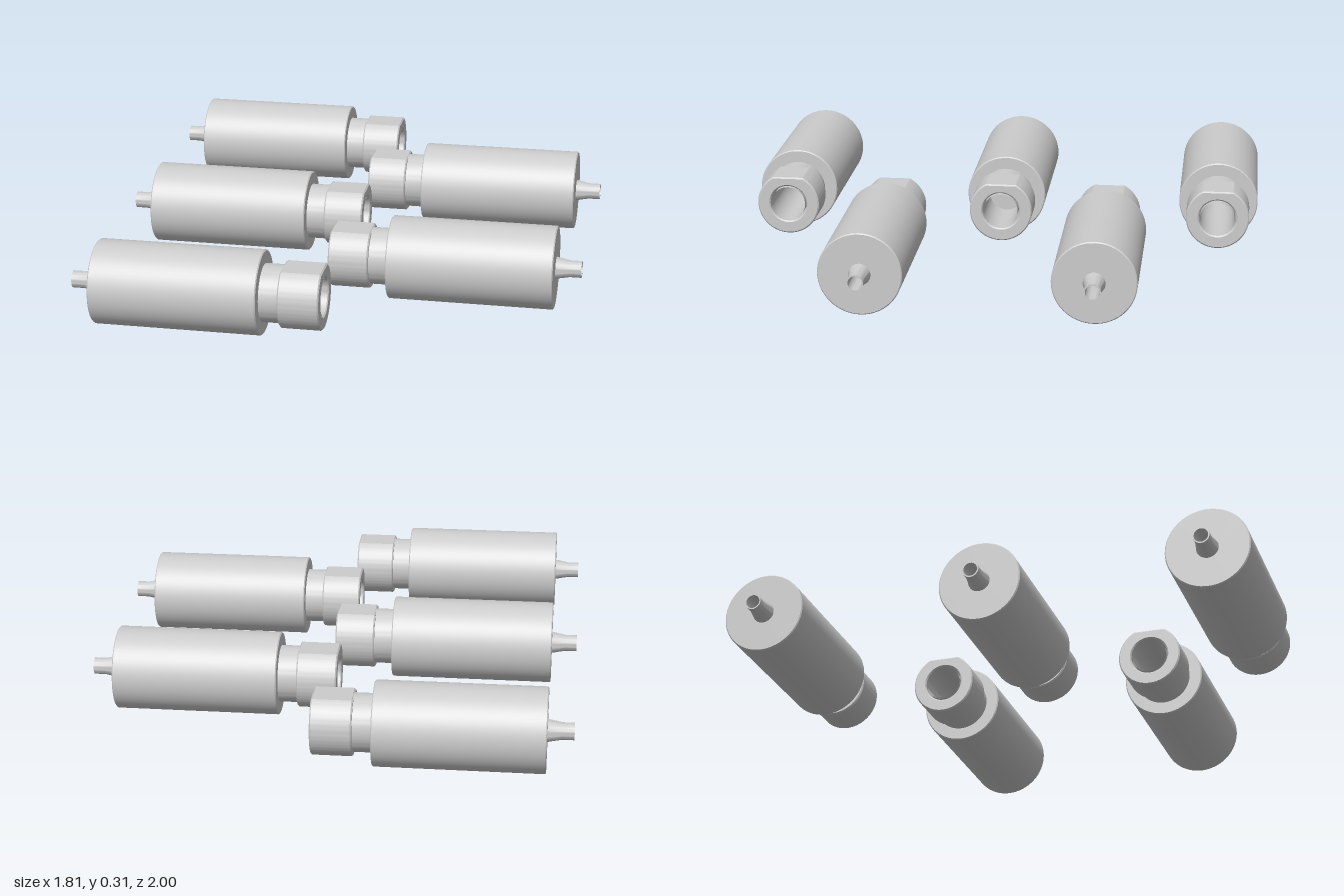
import * as THREE from 'three';
import { toCreasedNormals } from 'three/addons/utils/BufferGeometryUtils.js';

const R = 0.155;        // body radius
const BORE = 0.067;     // wide end of the through bore
const CREASE = 0.5;
const material = new THREE.MeshStandardMaterial({ color: 0xcccccc, side: THREE.DoubleSide });

// Turned part around the x axis; profile is a list of [x, radius]
function turned(name, profile, segments = 64) {
  const points = profile.map(([x, r]) => new THREE.Vector2(r, x));
  const geometry = new THREE.LatheGeometry(points, segments).rotateZ(-Math.PI / 2);
  const mesh = new THREE.Mesh(toCreasedNormals(geometry, CREASE), material);
  mesh.name = name;
  return mesh;
}

// Round collar with one flat on top and a bore
function collar() {
  const r = 0.122, a = Math.asin(0.107 / r), bevel = 0.005;
  const shape = new THREE.Shape();
  shape.absarc(0, 0, r, Math.PI - a, a + 2 * Math.PI, false);
  shape.closePath();
  const hole = new THREE.Path();
  hole.absarc(0, 0, BORE + bevel, 0, 2 * Math.PI, true);
  shape.holes.push(hole);
  const geometry = new THREE.ExtrudeGeometry(shape, {
    depth: 0.15 - 2 * bevel, curveSegments: 48,
    bevelThickness: bevel, bevelSize: bevel, bevelOffset: -bevel, bevelSegments: 1,
  });
  geometry.rotateY(Math.PI / 2).translate(-0.125 + bevel, 0, 0);
  const mesh = new THREE.Mesh(toCreasedNormals(geometry, CREASE), material);
  mesh.name = 'flattedCollar';
  return mesh;
}

// Disc or sector closing the bore
function plug(start, length) {
  const geometry = new THREE.CircleGeometry(BORE, 40, start, length);
  geometry.rotateY(Math.PI / 2).translate(-0.2, 0, 0);
  const mesh = new THREE.Mesh(geometry, material);
  mesh.name = 'borePlug';
  return mesh;
}

// One unit, nozzle towards -x and collar towards +x
function unit() {
  const group = new THREE.Group();
  group.add(
    turned('body', [[-0.81, 0.035], [-0.81, R - 0.004], [-0.806, R],
      [-0.199, R], [-0.195, R - 0.004], [-0.195, 0.1]]),
    turned('neck', [[-0.2, 0.106], [-0.12, 0.106]]),
    collar(),
    turned('nozzle', [[-0.905, 0.026], [-0.905, 0.031], [-0.862, 0.031], [-0.81, 0.041]], 32),
    turned('bore', [[0.022, BORE], [-0.2, BORE], [-0.79, 0.026], [-0.905, 0.026]], 48),
  );
  return group;
}

export function createModel() {
  const model = new THREE.Group();
  // Five parallel units in a row, alternating in direction
  for (let i = 0; i < 5; i++) {
    const part = unit();
    part.name = `unit${i + 1}`;
    part.position.set(0, R, -0.845 + i * 0.4225);
    if (i % 2) part.rotation.y = Math.PI;
    if (i === 0) part.add(plug(-0.5, 2.2));
    if (i === 2) part.add(plug(0, 2 * Math.PI));
    model.add(part);
  }
  return model;
}
